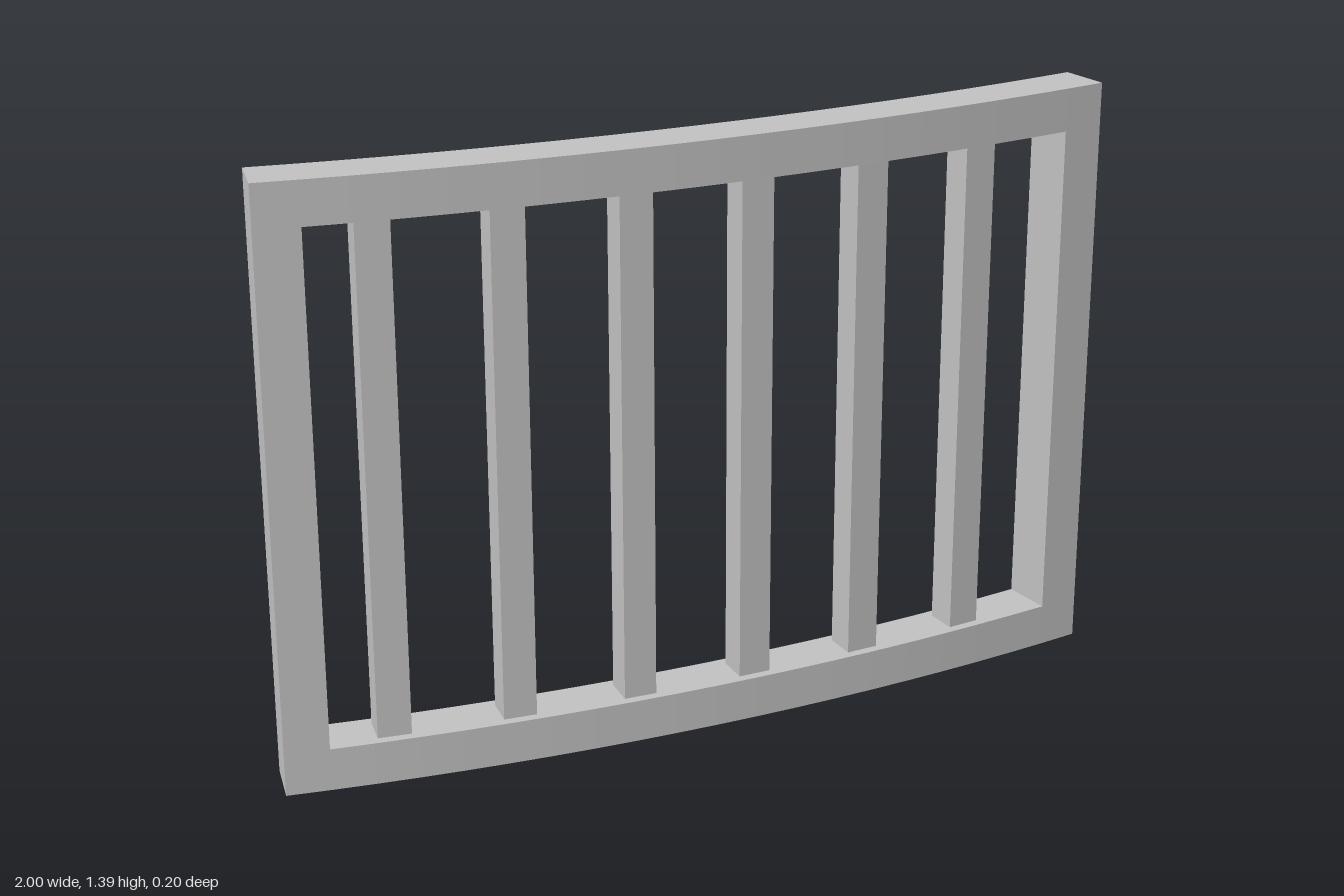
import * as THREE from 'three';

const R = 6.17;            // outer (front) radius of the bowed frame
const DEPTH = 0.12;        // frame thickness along the radius
const FRONT = 0.1;         // z of the foremost point
const HEIGHT = 1.39;
const RAIL = 0.1;          // rail height and post width
const END = Math.asin(1 / R);
const INNER = Math.asin((1 - RAIL) / R);

// Curved slab: a ring sector in plan, extruded upwards from y0 to y1
function arcSlab(a0, a1, rOut, rIn, y0, y1, segments) {
  const points = [];
  const add = (r, a) => points.push(new THREE.Vector2(r * Math.sin(a), R - FRONT - r * Math.cos(a)));
  for (let i = 0; i <= segments; i++) add(rOut, a0 + ((a1 - a0) * i) / segments);
  for (let i = segments; i >= 0; i--) add(rIn, a0 + ((a1 - a0) * i) / segments);
  const geometry = new THREE.ExtrudeGeometry(new THREE.Shape(points), { depth: y1 - y0, bevelEnabled: false });
  geometry.rotateX(-Math.PI / 2);
  geometry.translate(0, y0, 0);
  return geometry;
}

export function createModel() {
  const group = new THREE.Group();
  group.name = 'curvedRailing';
  const grey = new THREE.MeshStandardMaterial({ color: 0xc0c0c0 });
  grey.name = 'light grey';

  const add = (name, geometry) => {
    const mesh = new THREE.Mesh(geometry, grey);
    mesh.name = name;
    group.add(mesh);
  };

  // Top and bottom rails
  add('bottomRail', arcSlab(-END, END, R, R - DEPTH, 0, RAIL, 20));
  add('topRail', arcSlab(-END, END, R, R - DEPTH, HEIGHT - RAIL, HEIGHT, 20));

  // End posts between the rails
  add('leftPost', arcSlab(INNER, END, R, R - DEPTH, RAIL, HEIGHT - RAIL, 1));
  add('rightPost', arcSlab(-END, -INNER, R, R - DEPTH, RAIL, HEIGHT - RAIL, 1));

  // Six square bars, evenly spaced and turned to follow the curve
  const size = 0.076;
  const rMid = R - DEPTH / 2;
  const half = size / 2 / rMid;
  for (let i = 0; i < 6; i++) {
    const a = Math.asin((-0.746 + i * 0.2835) / rMid);
    add(`bar${i + 1}`, arcSlab(a - half, a + half, rMid + size / 2, rMid - size / 2, RAIL, HEIGHT - RAIL, 1));
  }
  return group;
}
